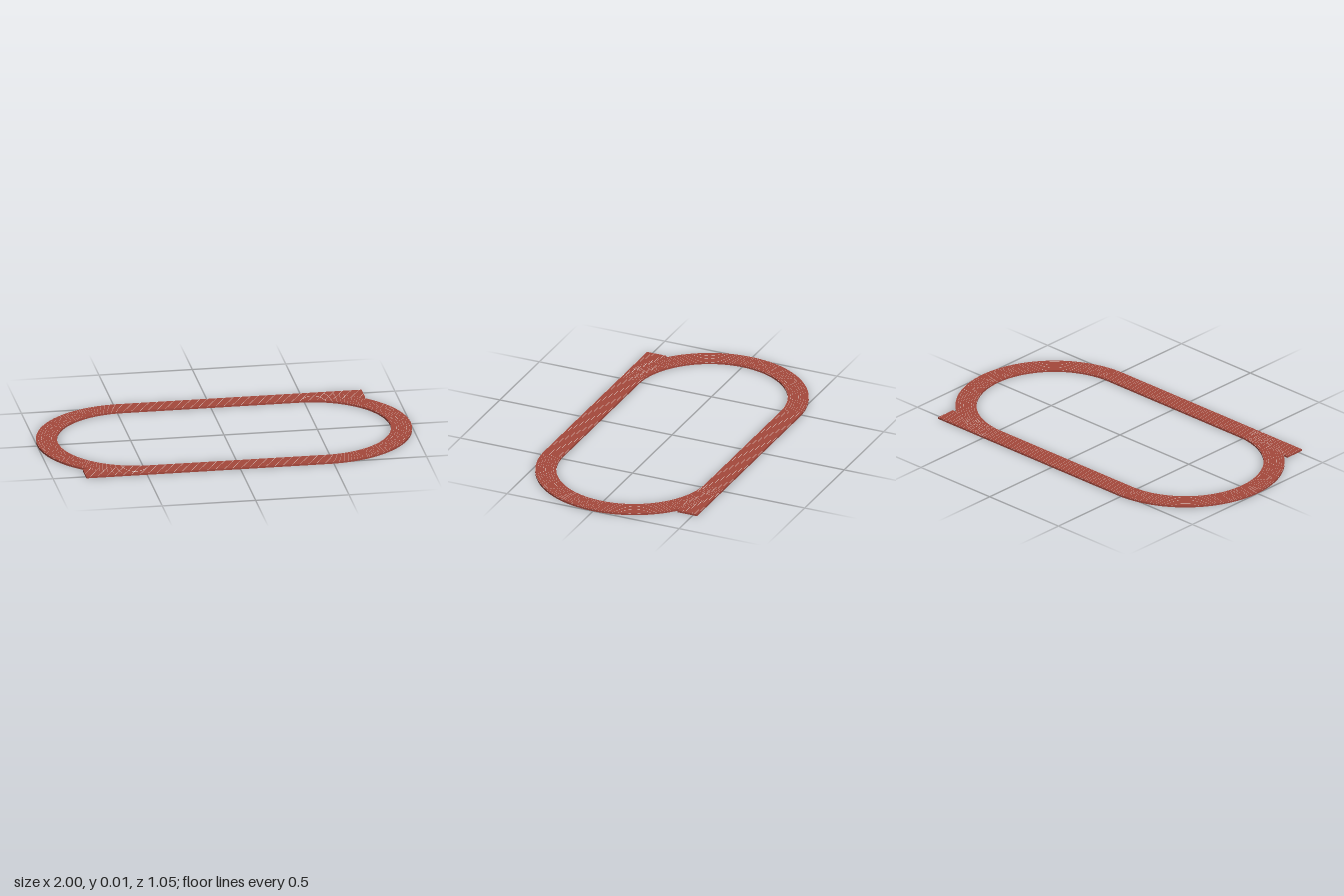
import * as THREE from 'three';

const HALF = 0.476;      // half length of the straights
const R_IN = 0.412, R_OUT = 0.524;
const END = 0.826;       // tip of the sprint chutes
const TOP = 0.0104;
const LANES = 8, LINE = 0.0007;
const SEG = 64;

// Closed stadium outline (two straights, two semicircles)
function stadium(r, Type = THREE.Shape) {
  const s = new Type();
  s.moveTo(HALF, -r);
  s.absarc(HALF, 0, r, -Math.PI / 2, Math.PI / 2, false);
  s.lineTo(-HALF, r);
  s.absarc(-HALF, 0, r, Math.PI / 2, Math.PI * 1.5, false);
  s.closePath();
  return s;
}

// Outer outline with a chute at one end of each straight
function trackOutline() {
  const a = Math.asin(R_IN / R_OUT), s = new THREE.Shape();
  s.moveTo(HALF, -R_OUT);
  s.absarc(HALF, 0, R_OUT, -Math.PI / 2, a, false);
  s.lineTo(END, R_IN);
  s.lineTo(END, R_OUT);
  s.lineTo(-HALF, R_OUT);
  s.absarc(-HALF, 0, R_OUT, Math.PI / 2, Math.PI + a, false);
  s.lineTo(-END, -R_IN);
  s.lineTo(-END, -R_OUT);
  s.closePath();
  return s;
}

export function createModel() {
  const group = new THREE.Group();
  group.name = 'runningTrack';
  const red = new THREE.MeshStandardMaterial({ color: 0xa5483c });
  const white = new THREE.MeshStandardMaterial({ color: 0xe8e4e0 });

  // Track slab
  const outline = trackOutline();
  outline.holes.push(stadium(R_IN, THREE.Path));
  const slabGeo = new THREE.ExtrudeGeometry(outline, { depth: TOP, bevelEnabled: false, curveSegments: SEG });
  slabGeo.rotateX(-Math.PI / 2);
  const slab = new THREE.Mesh(slabGeo, red);
  slab.name = 'trackSurface';
  group.add(slab);

  // Painted lane lines, continued straight into both chutes
  const lines = new THREE.Group();
  lines.name = 'laneLines';
  for (let i = 0; i <= LANES; i++) {
    const r = R_IN + (R_OUT - R_IN - LINE) * i / LANES;
    const ring = stadium(r + LINE);
    ring.holes.push(stadium(r, THREE.Path));
    const loop = new THREE.Mesh(new THREE.ShapeGeometry(ring, SEG).rotateX(-Math.PI / 2), white);
    loop.name = 'laneLine';
    loop.position.y = TOP + 0.0003;
    lines.add(loop);
    for (const side of [1, -1]) {
      const strip = new THREE.Mesh(new THREE.PlaneGeometry(END - HALF, LINE).rotateX(-Math.PI / 2), white);
      strip.name = 'chuteLine';
      strip.position.set(side * (HALF + END) / 2, TOP + 0.0003, -side * (r + LINE / 2));
      lines.add(strip);
    }
  }
  group.add(lines);
  return group;
}
